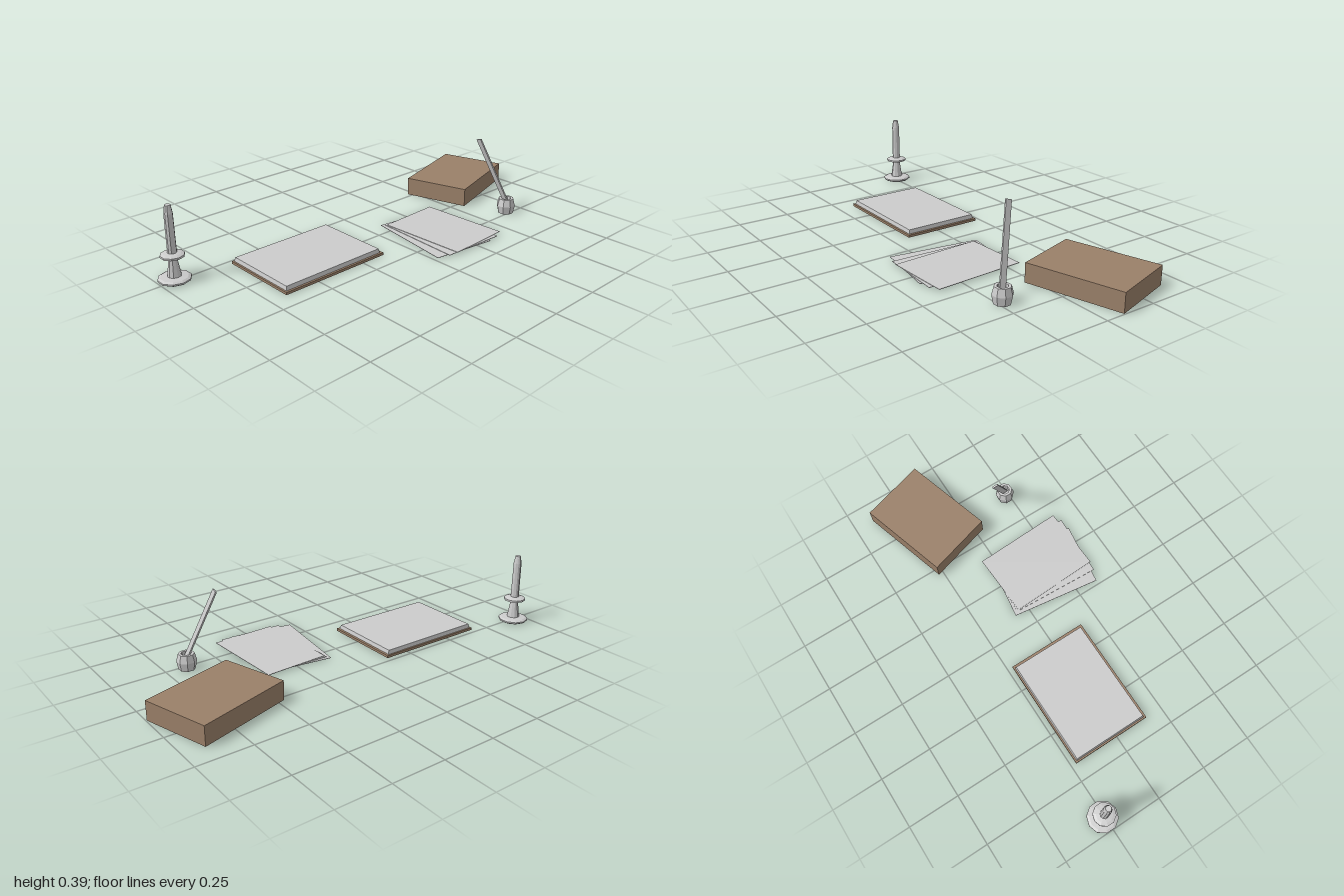
import * as THREE from 'three';

const grey = new THREE.MeshStandardMaterial({ color: 0xcccccc, flatShading: true });
const brown = new THREE.MeshStandardMaterial({ color: 0x9a8069, flatShading: true });

export function createModel() {
  const model = new THREE.Group();

  const add = (name, geometry, material, x, y, z, turn = 0) => {
    const mesh = new THREE.Mesh(geometry, material);
    mesh.name = name;
    mesh.position.set(x, y, z);
    mesh.rotation.y = turn;
    model.add(mesh);
    return mesh;
  };
  const lathe = (profile, sides) =>
    new THREE.LatheGeometry(profile.map(([r, y]) => new THREE.Vector2(r, y)), sides);

  // Candlestick: foot, flared stem, drip tray and tapered candle
  add('candlestick', lathe([
    [0, 0], [0.06, 0], [0.072, 0.007], [0.072, 0.014], [0.06, 0.02], [0.03, 0.023],
    [0.018, 0.105], [0.038, 0.108], [0.052, 0.113], [0.052, 0.122], [0.038, 0.127], [0.02, 0.13],
  ], 10), grey, -0.93, 0, -0.26);
  add('candle', lathe([
    [0.02, 0.128], [0.019, 0.305], [0.013, 0.342], [0, 0.342],
  ], 10), grey, -0.93, 0, -0.26);

  // Writing tablet: cover board with a slightly bevelled page block
  add('cover', new THREE.BoxGeometry(0.54, 0.012, 0.39), brown, -0.4, 0.006, -0.03);
  const pages = new THREE.BoxGeometry(0.52, 0.019, 0.372);
  const p = pages.attributes.position;
  for (let i = 0; i < p.count; i++) {
    if (p.getY(i) > 0) p.setXYZ(i, p.getX(i) * 0.985, p.getY(i), p.getZ(i) * 0.98);
  }
  add('pages', pages, grey, -0.402, 0.0215, -0.031);

  // Fanned loose sheets, lowest first: x, y, z, turn
  const sheet = new THREE.BoxGeometry(0.313, 0.002, 0.435);
  [
    [0.205, 0.003, 0.165, -0.14],
    [0.24, 0.006, 0.17, -0.047],
    [0.263, 0.009, 0.164, 0.046],
  ].forEach(([x, y, z, turn], i) => add(`sheet${i + 1}`, sheet, grey, x, y, z, turn));

  // Wooden box
  add('woodenBox', new THREE.BoxGeometry(0.454, 0.09, 0.325), brown, 0.7325, 0.045, -0.183, 0.29);

  // Inkwell with a shallow opening
  add('inkwell', lathe([
    [0, 0], [0.038, 0], [0.046, 0.04], [0.037, 0.075], [0.024, 0.075], [0.022, 0.055], [0, 0.055],
  ], 8), grey, 0.655, 0, 0.229, Math.PI / 8);

  // Quill: flat blade leaning out of the well
  const foot = new THREE.Vector3(0.654, 0.056, 0.23);
  const tip = new THREE.Vector3(0.55, 0.38, 0.124);
  const along = tip.clone().sub(foot);
  const length = along.length();
  along.normalize();
  const thick = along.clone().cross(new THREE.Vector3(0, 0, 1)).normalize();
  const wide = thick.clone().cross(along);
  const quill = add('quill', new THREE.BoxGeometry(0.008, length, 0.028), grey, 0, 0, 0);
  quill.quaternion.setFromRotationMatrix(new THREE.Matrix4().makeBasis(thick, along, wide));
  quill.position.copy(foot).lerp(tip, 0.5);

  return model;
}
